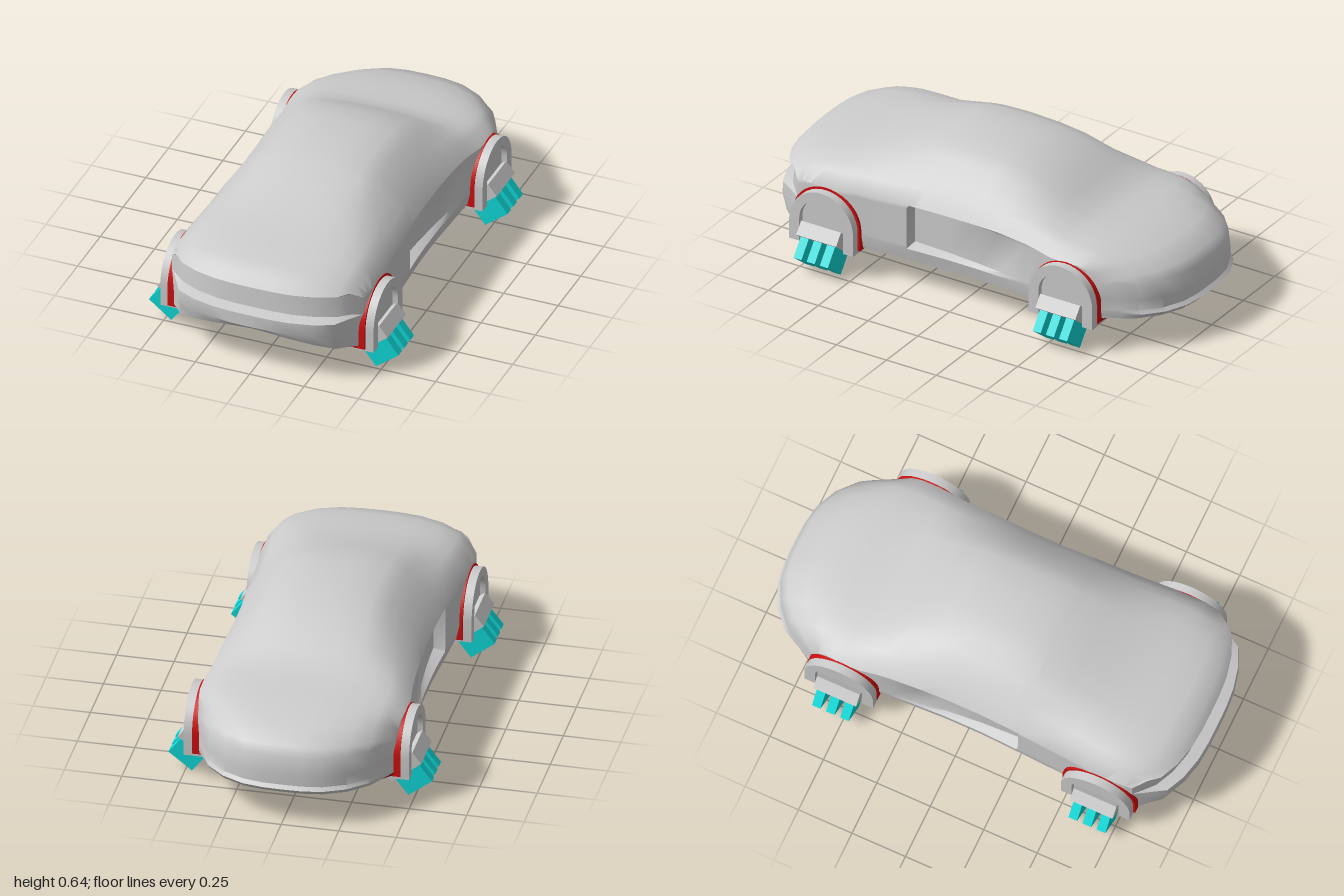
import * as THREE from 'three';
import { toCreasedNormals } from 'three/addons/utils/BufferGeometryUtils.js';

const grey = new THREE.MeshStandardMaterial({ color: 0xcccccc });
const greyShell = new THREE.MeshStandardMaterial({ color: 0xcccccc, side: THREE.DoubleSide });
const darkRed = new THREE.MeshStandardMaterial({ color: 0x780606, side: THREE.DoubleSide });
const red = new THREE.MeshStandardMaterial({ color: 0xcc1010 });
const cyan = new THREE.MeshStandardMaterial({ color: 0x10d8d8 });

const BASE = 0.14;
const mix = THREE.MathUtils.lerp;

// Body sections, rear to front: [z, backward sweep of the sides, half width, shoulder y, top y, cabin blend]
const SECTIONS = [
  [-0.95, 0.25, 0.43, 0.30, 0.36, 0], [-0.85, 0.18, 0.435, 0.34, 0.405, 0],
  [-0.75, 0.11, 0.44, 0.37, 0.43, 0], [-0.65, 0.05, 0.445, 0.38, 0.447, 0],
  [-0.55, 0, 0.45, 0.38, 0.455, 0], [-0.47, 0, 0.445, 0.38, 0.475, 0.2],
  [-0.40, 0, 0.435, 0.39, 0.515, 0.5], [-0.33, 0, 0.43, 0.40, 0.555, 0.8],
  [-0.20, 0, 0.425, 0.41, 0.615, 1], [-0.08, 0, 0.42, 0.41, 0.635, 1],
  [0.08, 0, 0.42, 0.41, 0.643, 1], [0.20, 0, 0.425, 0.41, 0.635, 1],
  [0.25, 0, 0.428, 0.41, 0.627, 1], [0.26, 0, 0.428, 0.41, 0.625, 1],
  [0.40, 0, 0.435, 0.40, 0.585, 0.8], [0.50, 0, 0.44, 0.40, 0.555, 0.5],
  [0.60, 0, 0.45, 0.39, 0.53, 0.2], [0.68, 0, 0.45, 0.39, 0.515, 0],
  [0.75, 0.02, 0.45, 0.39, 0.503, 0], [0.85, 0.08, 0.445, 0.385, 0.485, 0],
  [0.93, 0.13, 0.44, 0.38, 0.46, 0],
];

// One arch from the left sill over the roof to the right sill
function ring([z, sweep, w, s, h, t]) {
  const scoop = z > -0.33 && z < 0.255 ? 0.05 * (z + 0.33) / 0.58 : 0;
  const d = h - s;
  const half = [
    [0.97 * w, BASE], [w, 0.2], [w - scoop, 0.215], [w - scoop, s - 0.015], [w, s],
    [w * mix(0.9, 0.89, t), s + d * mix(0.5, 0.3, t)],
    [w * mix(0.81, 0.79, t), s + d * mix(0.72, 0.46, t)],
    [w * 0.62, s + d * mix(0.88, 0.8, t)],
    [w * mix(0.4, 0.45, t), s + d * mix(0.96, 0.93, t)],
    [w * 0.2, s + d * 0.99],
  ];
  const all = [...half, [0, h], ...half.slice().reverse().map(([x, y]) => [-x, y])];
  const dir = Math.sign(z);
  return all.map(([x, y]) => [x, y, z - dir * sweep * Math.min(1, Math.abs(x) / w) ** 3]);
}

// End faces: drop each point of the last arch down to the lip, following a profile of [y, z offset]
function endRows(edge, dir, profile, lip) {
  return profile.map(([rowY, dz]) => edge.map(([x, y, z], c) => {
    const i = Math.min(c, edge.length - 1 - c);
    const k = i < 5 ? 0 : i === 5 ? 0.4 : 1;
    return [x, Math.max(Math.min(rowY, y), lip(Math.abs(x))), z + dir * dz * k];
  }));
}

function gridGeometry(rows) {
  const pos = [], idx = [], n = rows[0].length;
  rows.forEach(r => r.forEach(p => pos.push(...p)));
  for (let r = 0; r < rows.length - 1; r++) {
    for (let c = 0; c < n - 1; c++) {
      const a = r * n + c, b = a + 1, d = a + n;
      idx.push(a, b, d, b, d + 1, d);
    }
  }
  const g = new THREE.BufferGeometry();
  g.setAttribute('position', new THREE.Float32BufferAttribute(pos, 3));
  g.setIndex(idx);
  return toCreasedNormals(g, 0.65);
}

function addMesh(parent, name, geometry, material, x = 0, y = 0, z = 0) {
  const m = new THREE.Mesh(geometry, material);
  m.name = name;
  m.position.set(x, y, z);
  parent.add(m);
  return m;
}

// Arch outline: straight legs with a half circle on top
function archPoints(r, y0, centreY) {
  const pts = [[r, y0]];
  for (let i = 0; i <= 20; i++) {
    const a = Math.PI * i / 20;
    pts.push([r * Math.cos(a), centreY + r * Math.sin(a)]);
  }
  pts.push([-r, y0]);
  return pts;
}

function archSolid(points, x0, x1) {
  const shape = new THREE.Shape(points.map(p => new THREE.Vector2(...p)));
  const g = new THREE.ExtrudeGeometry(shape, { depth: x1 - x0, bevelEnabled: false });
  return toCreasedNormals(g.rotateY(Math.PI / 2).translate(x0, 0, 0), 0.6);
}

// Wheel arch, tilted bracket and three thruster fins, built for the +x side
function wheelUnit(z, wellRadius) {
  const g = new THREE.Group();
  g.name = 'wheelUnit';
  g.position.z = z;
  addMesh(g, 'wheelWell', archSolid(archPoints(wellRadius, 0.132, 0.22), 0.29, 0.453), red);
  const rim = [...archPoints(0.16, 0.12, 0.22), ...archPoints(0.11, 0.12, 0.23).reverse()];
  addMesh(g, 'wheelArch', archSolid(rim, 0.3, 0.49), grey);
  addMesh(g, 'archCore', archSolid(archPoints(0.112, 0.135, 0.23), 0.305, 0.465), grey);
  const tilt = 0.657;
  addMesh(g, 'bracket', new THREE.BoxGeometry(0.165, 0.064, 0.2), grey, 0.445, 0.145).rotation.z = tilt;
  for (const dz of [-0.066, 0, 0.066]) {
    addMesh(g, 'thrusterFin', new THREE.BoxGeometry(0.13, 0.097, 0.04), cyan, 0.4925, 0.082, dz).rotation.z = tilt;
  }
  return g;
}

export function createModel() {
  const model = new THREE.Group();
  model.name = 'hoverCar';

  const rings = SECTIONS.map(ring);
  // Nose with a recessed band, and a rounded tail with a small lip
  const front = endRows(rings[rings.length - 1], 1,
    [[0.418, 0.035], [0.408, 0.005], [0.308, 0.015], [0.296, 0.065], [0.24, 0.067], [0, 0.045]],
    x => 0.22 - 0.08 * (x / 0.44) ** 1.7);
  const rear = endRows(rings[0], -1,
    [[0.32, 0.025], [0.24, 0.035], [0.19, 0.035], [0.175, 0.05], [0, 0.025]],
    () => 0.15);
  addMesh(model, 'bodyShell', gridGeometry([...rear.slice().reverse(), ...rings, ...front]), greyShell);

  // Underside, rising to the lips at both ends
  const flat = rings.slice().reverse().map(r => r.map(([x]) =>
    [THREE.MathUtils.clamp(x, -r[0][0], r[0][0]), BASE, r[0][2]]));
  addMesh(model, 'floor', gridGeometry([front[front.length - 1], ...flat, rear[rear.length - 1]]), darkRed);

  // Four wheel units, mirrored left to right
  for (const side of [1, -1]) {
    const half = new THREE.Group();
    half.name = side > 0 ? 'leftWheelUnits' : 'rightWheelUnits';
    half.add(wheelUnit(0.65, 0.17), wheelUnit(-0.55, 0.163));
    half.scale.x = side;
    model.add(half);
  }
  return model;
}
